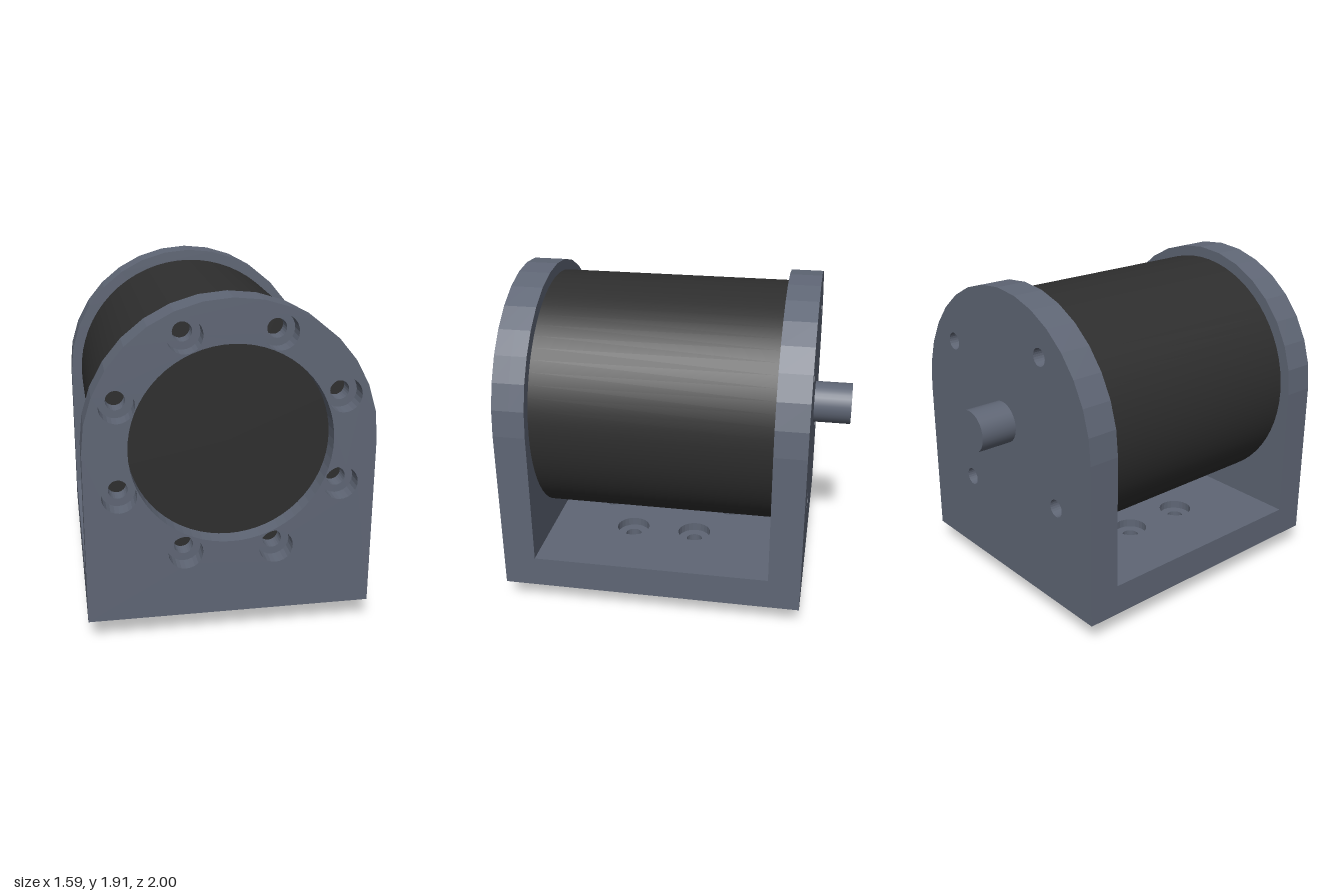
import * as THREE from 'three';

const AXIS_Y = 1.115;   // height of the motor axis
const BASE_Z = 0.112;   // middle of the base along z
const HALF_W = 0.794;

// Points on an arc
function arc(cx, cy, r, n, from = 0, sweep = Math.PI * 2) {
  const closed = sweep >= Math.PI * 2 - 1e-6;
  return Array.from({ length: closed ? n : n + 1 }, (_, i) => {
    const a = from + (sweep * i) / n;
    return new THREE.Vector2(cx + r * Math.cos(a), cy + r * Math.sin(a));
  });
}

// Circular holes spaced evenly round a ring
function holeRing(cx, cy, ringR, holeR, count, startDeg) {
  return Array.from({ length: count }, (_, i) => {
    const a = THREE.MathUtils.degToRad(startDeg + (360 * i) / count);
    return arc(cx + ringR * Math.cos(a), cy + ringR * Math.sin(a), holeR, 24);
  });
}

function slab(outline, holes, depth) {
  const shape = new THREE.Shape(outline);
  holes.forEach((h) => shape.holes.push(new THREE.Path(h)));
  return new THREE.ExtrudeGeometry(shape, { depth, bevelEnabled: false });
}

export function createModel() {
  const slate = new THREE.MeshStandardMaterial({ color: 0x5f6675 });
  slate.name = 'slate metal';
  const black = new THREE.MeshStandardMaterial({ color: 0x2e2e2e });
  black.name = 'black housing';

  const model = new THREE.Group();
  model.name = 'motorBracket';
  const add = (name, geometry, material, x = 0, y = 0, z = 0) => {
    const mesh = new THREE.Mesh(geometry, material);
    mesh.name = name;
    mesh.position.set(x, y, z);
    model.add(mesh);
  };

  // Upright plates with round tops
  const plate = [
    new THREE.Vector2(-HALF_W, 0.13),
    new THREE.Vector2(HALF_W, 0.13),
    ...arc(0, AXIS_Y, HALF_W, 16, 0, Math.PI),
  ];
  const bore = arc(0, AXIS_Y, 0.555, 64);
  const frontHoles = (r) => [bore, ...holeRing(0, AXIS_Y, 0.655, r, 8, 22.5)];
  add('frontPlateInner', slab(plate, frontHoles(0.053), 0.09), slate, 0, 0, 0.81);
  add('frontPlateCounterbored', slab(plate, frontHoles(0.096), 0.1), slate, 0, 0, 0.9);
  add('backPlate', slab(plate, holeRing(0, AXIS_Y, 0.61, 0.052, 4, 37), 0.187), slate, 0, 0, -0.777);

  // Base between the plates, with counterbored screw holes
  const floor = [[-1, -1], [1, -1], [1, 1], [-1, 1]].map(
    ([x, y]) => new THREE.Vector2(x * HALF_W, y * 0.7));
  const screws = (r) => holeRing(0, 0, 0.39, r, 6, 30);
  const flat = (outline, holes, h) => slab(outline, holes, h).rotateX(-Math.PI / 2);
  add('baseLower', flat(floor, screws(0.048), 0.135), slate, 0, 0.13, BASE_Z - 0.002);
  add('baseCounterbored', flat(floor, screws(0.1), 0.05), slate, 0, 0.265, BASE_Z - 0.002);

  // Mounting flange below, with screw and dowel holes
  const flangeHoles = [...screws(0.048), ...holeRing(0, 0, 0.39, 0.068, 3, 60)];
  add('mountingFlange', flat(arc(0, 0, 0.538, 32), flangeHoles, 0.13), slate, 0, 0, BASE_Z);

  // Motor body, its front boss and the rear shaft
  const rod = (r, len, n) => new THREE.CylinderGeometry(r, r, len, n).rotateX(Math.PI / 2);
  add('motorBody', rod(0.728, 1.4, 64), black, 0, AXIS_Y, 0.11);
  add('motorBoss', rod(0.554, 0.09, 64), black, 0, AXIS_Y, 0.855);
  add('shaft', rod(0.125, 0.223, 32), slate, 0, AXIS_Y, -0.8885);

  return model;
}
